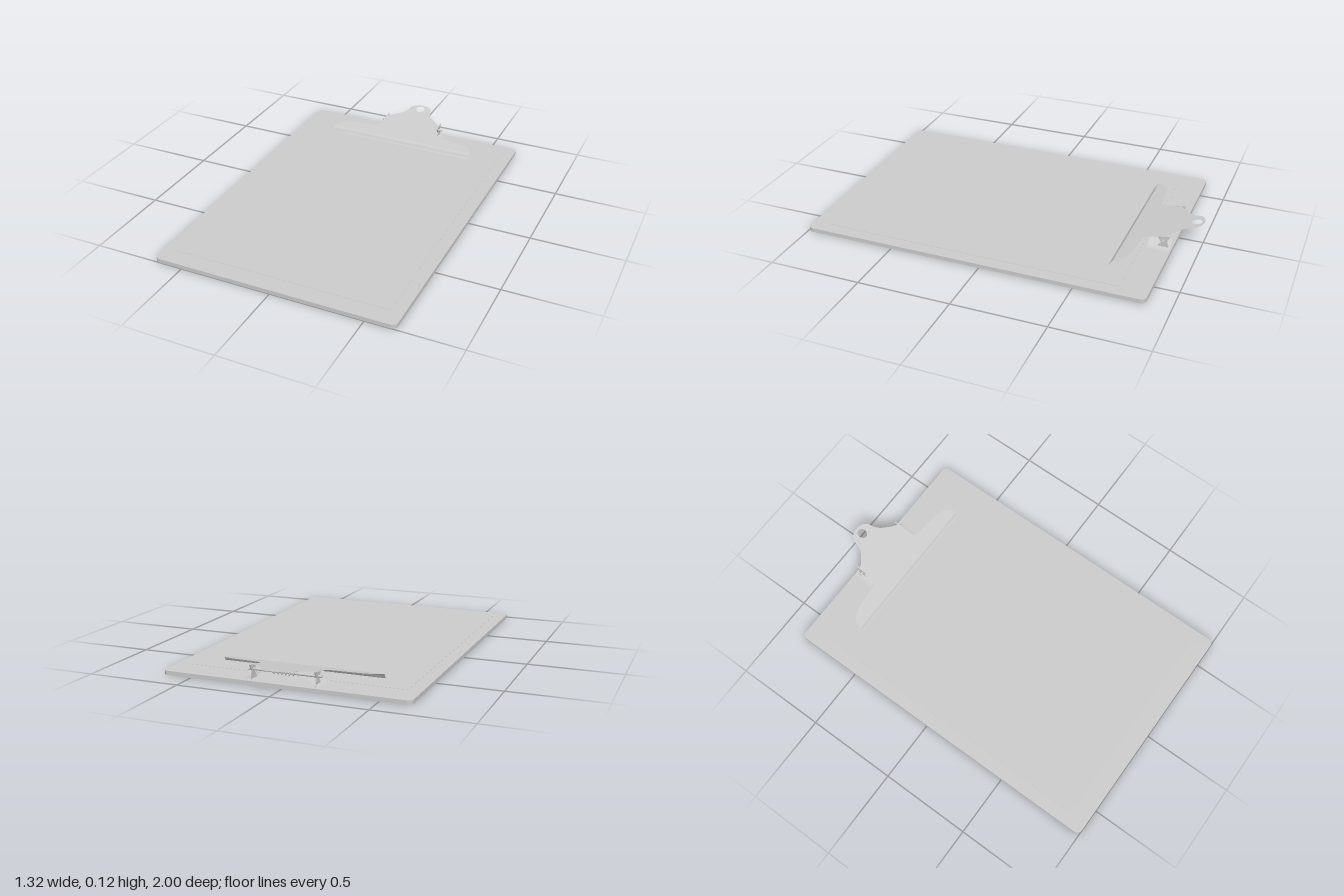
import * as THREE from 'three';

const grey = new THREE.MeshStandardMaterial({ color: 0xcccccc });
const sheetGrey = new THREE.MeshStandardMaterial({ color: 0xcccccc, side: THREE.DoubleSide });

function part(name, geometry, material = grey) {
  const mesh = new THREE.Mesh(geometry, material);
  mesh.name = name;
  return mesh;
}

// Rectangle with rounded corners; shape y becomes -z once laid flat
function roundedRect(x, y0, y1, r) {
  const s = new THREE.Shape();
  s.absarc(x - r, y0 + r, r, -Math.PI / 2, 0);
  s.absarc(x - r, y1 - r, r, 0, Math.PI / 2);
  s.absarc(-x + r, y1 - r, r, Math.PI / 2, Math.PI);
  s.absarc(-x + r, y0 + r, r, Math.PI, Math.PI * 1.5);
  s.closePath();
  return s;
}

// Moves every vertex by a rule and refreshes the normals
function reshape(geometry, rule) {
  const p = geometry.attributes.position;
  const v = new THREE.Vector3();
  for (let i = 0; i < p.count; i++) {
    rule(v.fromBufferAttribute(p, i));
    p.setXYZ(i, v.x, v.y, v.z);
  }
  geometry.computeVertexNormals();
  return geometry;
}

const tilt = (z) => 0.062 + (-0.64 - z) * 0.175; // height of the sloping clip plate

function clipPlate() {
  // Right half of the outline, from the bar's front end to the hanging tab
  const half = [
    [0.44, 0.637], [0.435, 0.66], [0.405, 0.69], [0.35, 0.705], [0.27, 0.713],
    [0.2, 0.72], [0.175, 0.735], [0.175, 0.83], [0.13, 0.865], [0.09, 0.9],
    [0.072, 0.935], [0.065, 0.97], [0.045, 0.99], [0.015, 1.0],
  ];
  const outline = [...half, ...half.map(([x, y]) => [-x, y]).reverse()];
  const shape = new THREE.Shape(outline.map(([x, y]) => new THREE.Vector2(x, y)));
  const hole = new THREE.Path();
  hole.absellipse(0, 0.958, 0.025, 0.028, 0, Math.PI * 2, true);
  shape.holes.push(hole);
  const g = new THREE.ShapeGeometry(shape, 16).rotateX(-Math.PI / 2);
  return reshape(g, (v) => { v.y = tilt(v.z); });
}

// Front lip rolled down onto the paper
function clipLip() {
  const profile = [[0.061, -0.637], [0.056, -0.63], [0.046, -0.624], [0.036, -0.62], [0.033, -0.615]];
  const g = new THREE.PlaneGeometry(0.88, 4, 8, 4);
  return reshape(g, (v) => {
    const [y, z] = profile[Math.round(2 - v.y)];
    v.y = y;
    v.z = z;
  });
}

// Base plate: flat wings with an arch raised in the middle
function clipBase() {
  const g = new THREE.PlaneGeometry(0.6, 1, 36, 4).rotateX(-Math.PI / 2);
  return reshape(g, (v) => {
    const a = Math.abs(v.x);
    const back = -0.865 + Math.max(0, a - 0.19) * 0.6;
    v.z = THREE.MathUtils.lerp(back, -0.745, v.z + 0.5);
    v.y = 0.028 + 0.034 * (1 - THREE.MathUtils.smoothstep(a, 0.12, 0.2));
  });
}

// Side ear in the z-y plane, joining plate and base
function earGeometry() {
  const pts = [[-0.795, 0.09], [-0.862, 0.101], [-0.845, 0.068], [-0.86, 0.026], [-0.79, 0.026], [-0.815, 0.06]];
  const shape = new THREE.Shape(pts.map(([z, y]) => new THREE.Vector2(-z, y)));
  return new THREE.ExtrudeGeometry(shape, { depth: 0.006, bevelEnabled: false })
    .rotateY(Math.PI / 2).translate(-0.003, 0, 0);
}

function springGeometry() {
  const pts = [];
  for (let i = 0; i <= 72; i++) {
    const t = (i / 12) * Math.PI * 2;
    pts.push(new THREE.Vector3(-0.06 + 0.12 * i / 72, 0.072 + 0.014 * Math.sin(t), -0.825 + 0.014 * Math.cos(t)));
  }
  return new THREE.TubeGeometry(new THREE.CatmullRomCurve3(pts), 120, 0.004, 6);
}

export function createModel() {
  const model = new THREE.Group();
  model.name = 'clipboard';

  // Board and sheet of paper
  const board = new THREE.ExtrudeGeometry(roundedRect(0.66, -1, 0.87, 0.03), {
    depth: 0.022, bevelEnabled: false, curveSegments: 6,
  }).rotateX(-Math.PI / 2);
  model.add(part('board', board));
  const paper = new THREE.BoxGeometry(1.18, 0.002, 1.62).translate(0, 0.022, 0.09);
  model.add(part('paper', paper));

  // Spring clip
  const clip = new THREE.Group();
  clip.name = 'clip';
  clip.add(part('clipPlate', clipPlate(), sheetGrey));
  clip.add(part('clipLip', clipLip(), sheetGrey));
  clip.add(part('clipBase', clipBase(), sheetGrey));
  for (const side of [-1, 1]) {
    const ear = part(side > 0 ? 'leftEar' : 'rightEar', earGeometry());
    ear.position.x = side * 0.172;
    clip.add(ear);
  }
  const pin = new THREE.CylinderGeometry(0.007, 0.007, 0.39, 10).rotateZ(Math.PI / 2).translate(0, 0.072, -0.825);
  clip.add(part('pivotPin', pin));
  clip.add(part('spring', springGeometry()));
  model.add(clip);

  return model;
}
